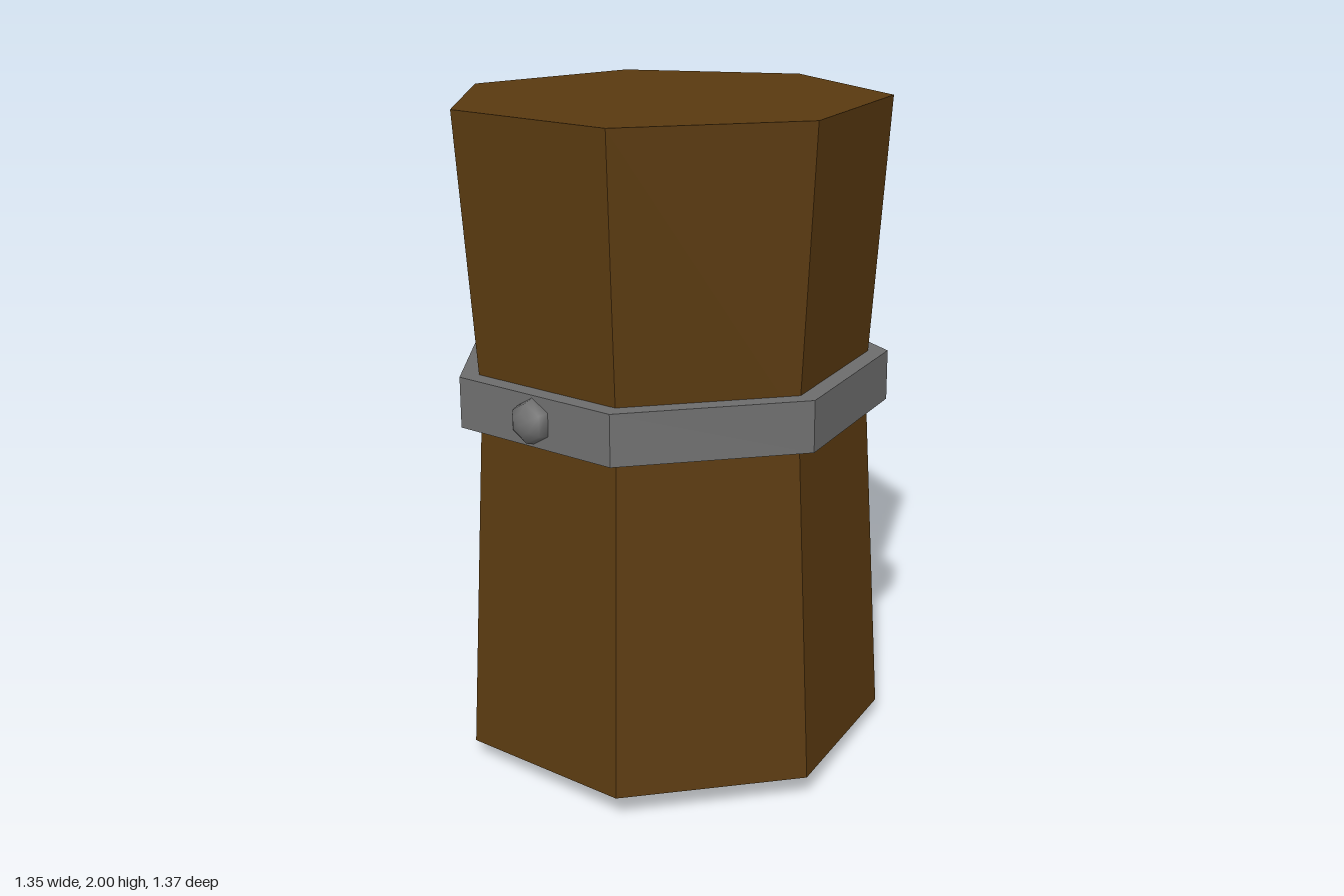
import * as THREE from 'three';

const SIDES = 7;
const PHASE = THREE.MathUtils.degToRad(93.5); // places the first corner near +x
const STEP = (Math.PI * 2) / SIDES;

// Turn a [radius, height] profile into a faceted seven-sided solid
function facetedLathe(profile, material, name) {
  const points = profile.map(([r, y]) => new THREE.Vector2(r, y));
  const mesh = new THREE.Mesh(new THREE.LatheGeometry(points, SIDES, PHASE), material);
  mesh.name = name;
  return mesh;
}

export function createModel() {
  const wood = new THREE.MeshStandardMaterial({ color: 0x5a3a10, flatShading: true, side: THREE.DoubleSide });
  const metal = new THREE.MeshStandardMaterial({ color: 0x6e6e6e, flatShading: true });
  const rivetMetal = new THREE.MeshStandardMaterial({ color: 0x6e6e6e });

  // The whole post leans slightly to its left and back
  const post = new THREE.Group();
  post.name = 'leaningPost';
  post.position.set(-0.066, 0.045, 0.036);
  post.quaternion.setFromUnitVectors(
    new THREE.Vector3(0, 1, 0),
    new THREE.Vector3(0.043, 1, -0.046).normalize()
  );

  // Waisted wooden body, capped on top and open underneath
  post.add(facetedLathe([[0.657, 0], [0.597, 1.08], [0.657, 1.928], [0, 1.928]], wood, 'woodenBody'));

  // Metal band around the waist
  const bandY = 1.085, half = 0.076, outer = 0.662, inner = 0.59;
  post.add(facetedLathe([
    [inner, bandY - half], [outer, bandY - half],
    [outer, bandY + half], [inner, bandY + half], [inner, bandY - half],
  ], metal, 'metalBand'));

  // Domed rivets centred on three of the band's faces
  const dome = new THREE.SphereGeometry(0.068, 6, 6);
  dome.rotateY(Math.PI / 6).rotateX(Math.PI / 2).scale(1, 1, 0.82);
  const apothem = outer * Math.cos(STEP / 2);
  for (const face of [0, 3, 5]) {
    const angle = PHASE - STEP * (face + 0.5);
    const rivet = new THREE.Mesh(dome, rivetMetal);
    rivet.name = 'rivet';
    rivet.position.set(Math.sin(angle) * apothem, bandY, Math.cos(angle) * apothem);
    rivet.rotation.y = angle;
    post.add(rivet);
  }

  const model = new THREE.Group();
  model.name = 'bandedPost';
  model.add(post);
  return model;
}
